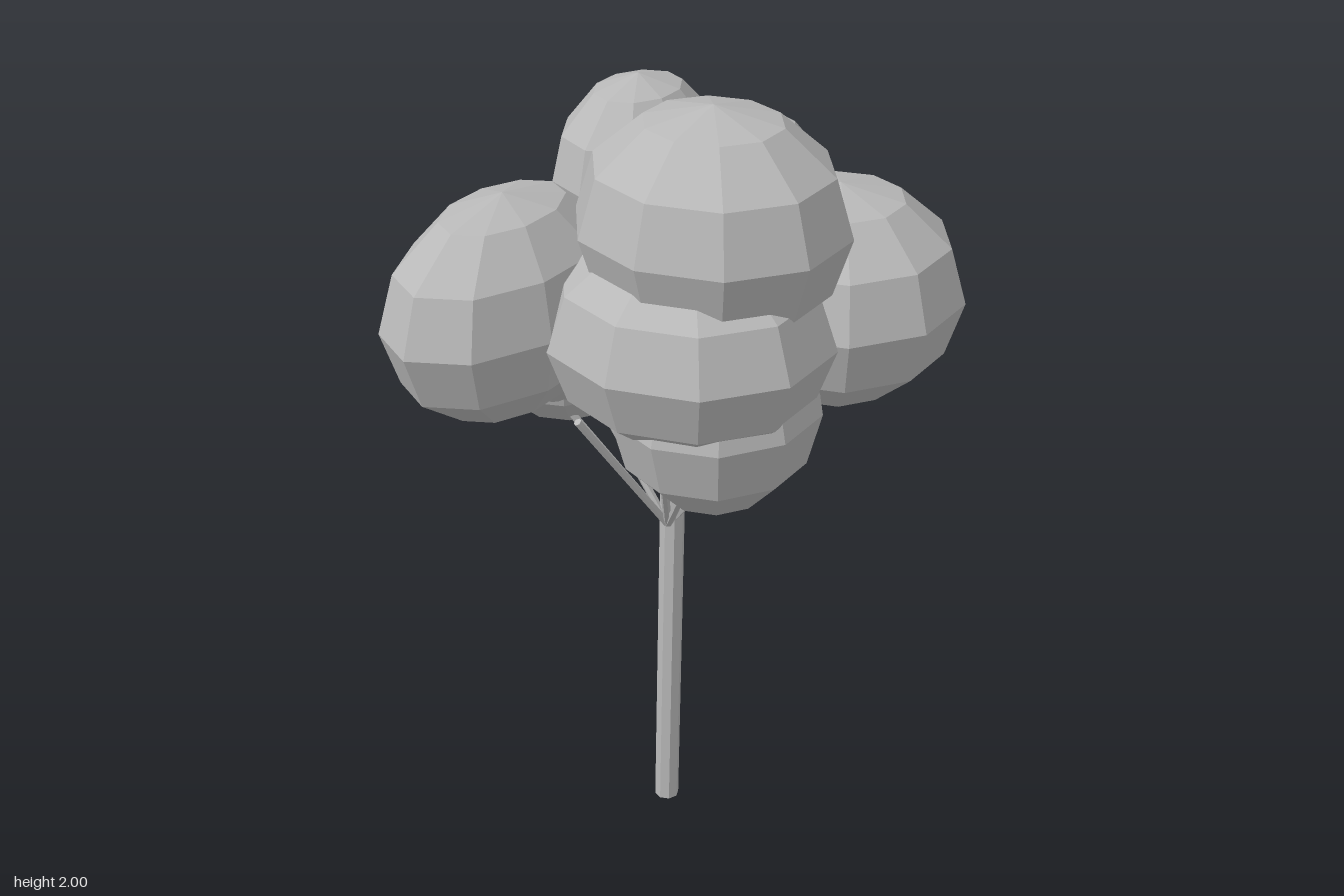
import * as THREE from 'three';

const grey = new THREE.MeshStandardMaterial({ color: 0xb8b8b8, flatShading: true });
grey.name = 'grey';

// Round limb between two points
function limb(name, from, to, radius, sides) {
  const a = new THREE.Vector3(...from), b = new THREE.Vector3(...to);
  const dir = b.clone().sub(a);
  const mesh = new THREE.Mesh(new THREE.CylinderGeometry(radius, radius, dir.length(), sides), grey);
  mesh.name = name;
  mesh.position.copy(a).add(b).multiplyScalar(0.5);
  mesh.quaternion.setFromUnitVectors(new THREE.Vector3(0, 1, 0), dir.normalize());
  return mesh;
}

// Leaf clumps: centre x, y, z and radius x, y, z
const clumps = [
  [0.17, 1.74, 0.12, 0.305, 0.26, 0.286],
  [0.3, 1.5, -0.19, 0.29, 0.255, 0.295],
  [-0.385, 1.55, -0.4, 0.2, 0.255, 0.253],
  [0.035, 1.58, -0.26, 0.169, 0.25, 0.228],
  [-0.07, 1.57, -0.09, 0.185, 0.25, 0.24],
  [-0.243, 1.52, 0.303, 0.215, 0.255, 0.345],
  [0.146, 1.5, 0.17, 0.328, 0.245, 0.31],
  [-0.29, 1.45, 0.12, 0.28, 0.25, 0.21],
  [-0.307, 1.345, -0.01, 0.235, 0.25, 0.28],
  [0.206, 1.34, 0.153, 0.235, 0.25, 0.25],
  [0, 1.38, -0.08, 0.24, 0.245, 0.24],
];

// Branch tips
const tips = [
  [-0.27, 1.18, -0.25], [-0.27, 1.2, 0.0], [-0.25, 1.2, 0.13], [-0.14, 1.2, 0.2],
  [0.18, 1.2, 0.17], [0.2, 1.22, -0.13], [0.03, 1.25, -0.24], [0.08, 1.22, 0.19],
];

export function createModel() {
  const tree = new THREE.Group();
  tree.name = 'tree';

  // Slightly leaning trunk
  tree.add(limb('trunk', [-0.048, 0, -0.02], [-0.048, 1.3, -0.063], 0.031, 8));

  // Thin branches fanning out from the trunk
  const branches = new THREE.Group();
  branches.name = 'branches';
  for (const tip of tips) branches.add(limb('branch', [-0.048, 0.835, -0.03], tip, 0.01, 6));
  tree.add(branches);

  // Crown of squashed faceted spheres
  const crown = new THREE.Group();
  crown.name = 'crown';
  const ball = new THREE.SphereGeometry(1, 10, 6).rotateY(Math.PI / 2);
  for (const [x, y, z, rx, ry, rz] of clumps) {
    const clump = new THREE.Mesh(ball, grey);
    clump.name = 'leafClump';
    clump.position.set(x, y, z);
    clump.scale.set(rx, ry, rz);
    crown.add(clump);
  }
  tree.add(crown);
  return tree;
}
